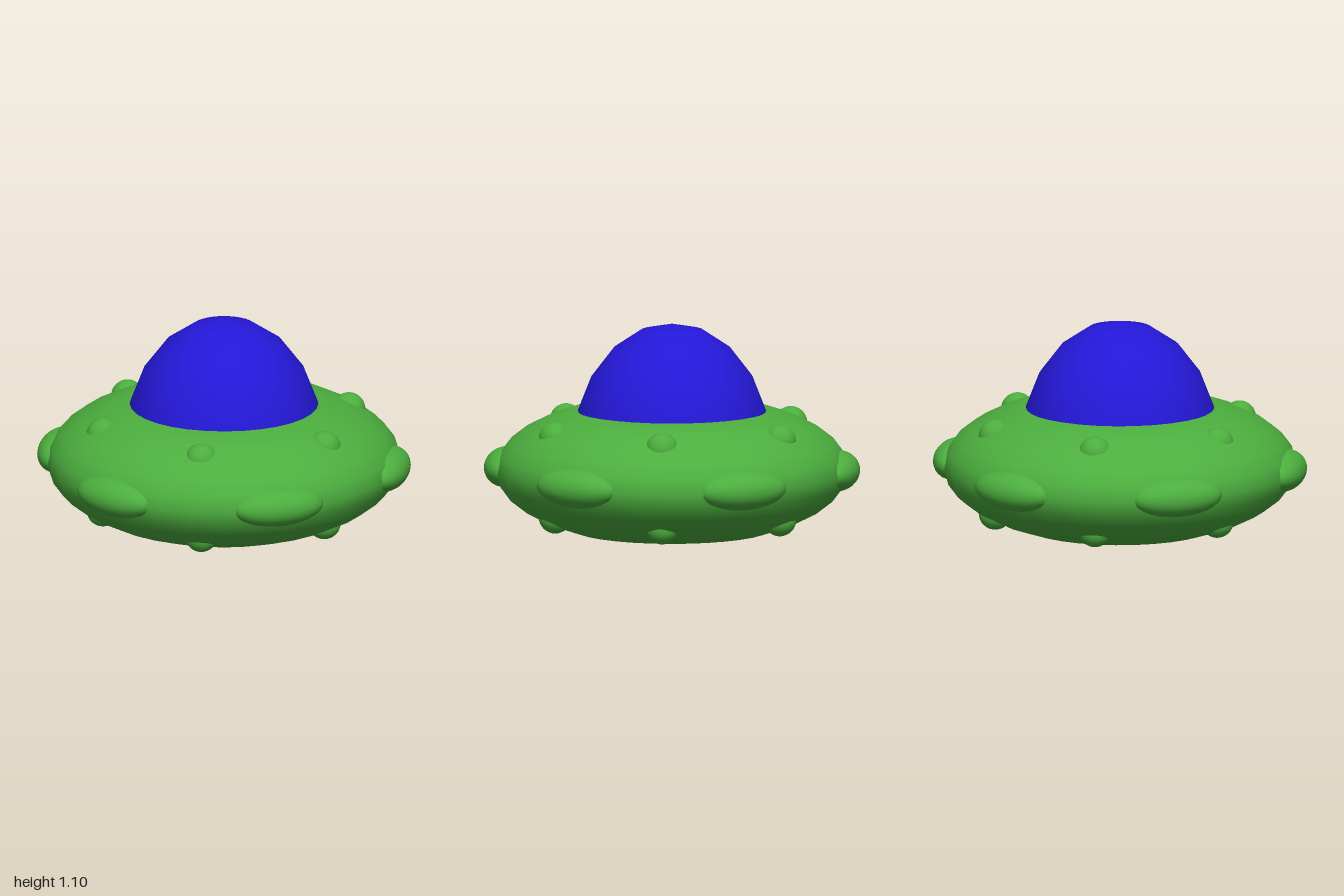
import * as THREE from 'three';

const MID = 0.323;            // height of the hull's widest line
const HULL_R = 0.94, HULL_H = 0.388;

export function createModel() {
  const model = new THREE.Group();
  const green = new THREE.MeshStandardMaterial({ color: 0x4cae3e });
  const blue = new THREE.MeshStandardMaterial({ color: 0x2418d8 });

  const add = (name, geometry, material, parent = model) => {
    const mesh = new THREE.Mesh(geometry, material);
    mesh.name = name;
    parent.add(mesh);
    return mesh;
  };

  // Hull: squashed sphere whose two poles are pushed in as dishes
  const dish = [[0, 0.2], [0.18, 0.165], [0.36, 0.085], [0.47, 0.02]];
  const profile = dish.map(([r, y]) => new THREE.Vector2(r, y));
  const step = Math.PI / 16;
  for (let i = -5; i <= 5; i++) {
    profile.push(new THREE.Vector2(HULL_R * Math.cos(i * step), MID + HULL_H * Math.sin(i * step)));
  }
  dish.reverse().forEach(([r, y]) => profile.push(new THREE.Vector2(r, 2 * MID - y)));
  add('hull', new THREE.LatheGeometry(profile, 32), green);

  // Dome: upper part of a tall ellipsoid, its edge sunk into the top dish
  const dome = add('dome', new THREE.SphereGeometry(1, 32, 4, 0, Math.PI * 2, 0, Math.PI * 0.4), blue);
  dome.material.side = THREE.DoubleSide;
  dome.scale.set(0.53, 0.69, 0.53);
  dome.position.y = 0.415;

  // Six long pods around the rim
  const ball = new THREE.SphereGeometry(1, 32, 16);
  const pods = new THREE.Group();
  pods.name = 'rimPods';
  model.add(pods);
  for (let i = 0; i < 6; i++) {
    const a = i * Math.PI / 3;
    const pod = add('rimPod', ball, green, pods);
    pod.position.set(0.88 * Math.cos(a), MID + 0.004, 0.88 * Math.sin(a));
    pod.scale.set(0.12, 0.105, 0.25);
    pod.rotation.y = -a;
  }

  // Six round studs on the upper slope and six on the lower
  for (const side of [1, -1]) {
    const studs = new THREE.Group();
    studs.name = side > 0 ? 'upperStuds' : 'lowerStuds';
    studs.position.set(0.008, MID + side * 0.21, -0.012);
    model.add(studs);
    for (let i = 0; i < 6; i++) {
      const a = (i + 0.5) * Math.PI / 3;
      const stud = add('stud', ball, green, studs);
      stud.position.set(0.69 * Math.cos(a), 0, 0.69 * Math.sin(a));
      stud.scale.setScalar(0.088);
    }
  }
  return model;
}
